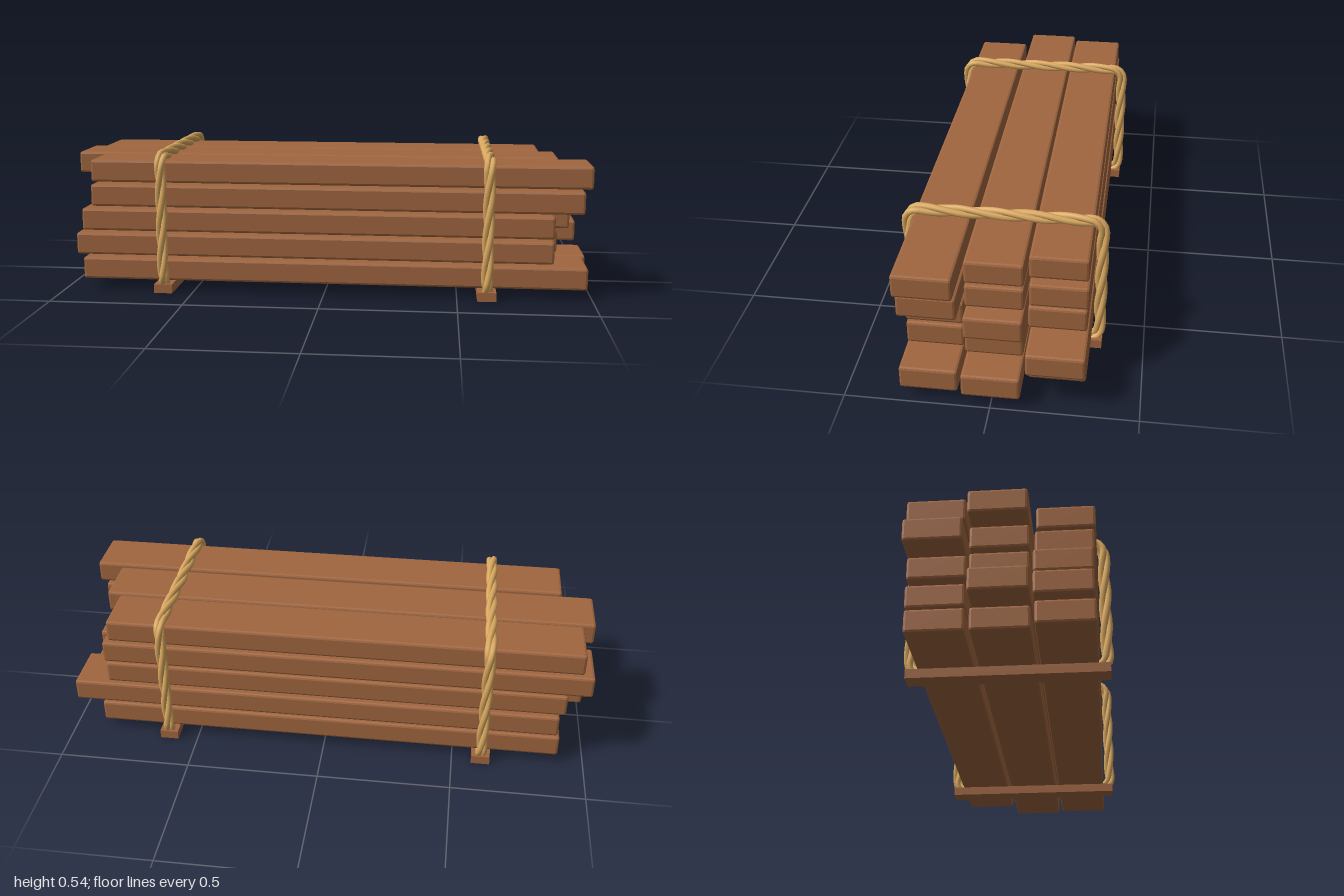
import * as THREE from 'three';
import { RoundedBoxGeometry } from 'three/addons/geometries/RoundedBoxGeometry.js';

const wood = new THREE.MeshStandardMaterial({ color: 0xa0663f, flatShading: true });
const ropeFibre = new THREE.MeshStandardMaterial({ color: 0xdcaa60 });

// One strand winding around a rounded rectangular loop in the z-y plane
class StrandCurve extends THREE.Curve {
  constructor(loop, phase, turns, offset) {
    super();
    Object.assign(this, { loop, phase, turns, offset });
  }
  getPoint(t, target = new THREE.Vector3()) {
    const u = ((t % 1) + 1) % 1;
    const p = this.loop.getPointAt(u);
    const d = this.loop.getTangentAt(u);
    const a = this.phase + u * this.turns * Math.PI * 2;
    const out = Math.cos(a) * this.offset;
    return target.set(Math.sin(a) * this.offset, p.y - d.x * out, p.x + d.y * out);
  }
}

// Rope path: shape x is model z, shape y is model y
function ropeLoop(halfZ, bottom, top, r) {
  const s = new THREE.Shape();
  s.moveTo(halfZ, bottom + r);
  s.lineTo(halfZ, top - r);
  s.absarc(halfZ - r, top - r, r, 0, Math.PI / 2);
  s.lineTo(-halfZ + r, top);
  s.absarc(-halfZ + r, top - r, r, Math.PI / 2, Math.PI);
  s.lineTo(-halfZ, bottom + r);
  s.absarc(-halfZ + r, bottom + r, r, Math.PI, Math.PI * 1.5);
  s.lineTo(halfZ - r, bottom);
  s.absarc(halfZ - r, bottom + r, r, Math.PI * 1.5, Math.PI * 2);
  return s;
}

function makeRope(x) {
  const rope = new THREE.Group();
  rope.name = 'rope';
  const loop = ropeLoop(0.339, 0.025, 0.522, 0.045);
  for (let i = 0; i < 3; i++) {
    const curve = new StrandCurve(loop, (i * Math.PI * 2) / 3, 6, 0.011);
    const strand = new THREE.Mesh(new THREE.TubeGeometry(curve, 110, 0.0118, 8, true), ropeFibre);
    strand.name = 'ropeStrand';
    rope.add(strand);
  }
  rope.position.x = x;
  return rope;
}

// Rows from bottom to top; each plank is [z centre, left end x, right end x]
const rows = [
  [[0.211, -0.93, 0.98], [-0.001, -0.90, 0.995], [-0.213, -0.90, 0.88]],
  [[0.207, -0.955, 0.855], [0.001, -0.99, 0.885], [-0.215, -0.89, 0.98]],
  [[0.207, -0.93, 0.855], [-0.002, -0.92, 0.93], [-0.209, -0.91, 0.845]],
  [[0.211, -0.89, 0.96], [-0.001, -0.93, 0.88], [-0.213, -0.995, 0.85]],
  [[0.216, -0.885, 0.985], [-0.001, -1.0, 0.88], [-0.209, -0.955, 0.825]],
];

export function createModel() {
  const model = new THREE.Group();
  model.name = 'lumberStack';

  // Chamfered planks
  rows.forEach((row, j) => {
    for (const [z, x0, x1] of row) {
      const plank = new THREE.Mesh(new RoundedBoxGeometry(x1 - x0, 0.084, 0.199, 1, 0.009), wood);
      plank.name = 'plank';
      plank.position.set((x0 + x1) / 2, 0.082 + j * 0.0948, z);
      model.add(plank);
    }
  });

  // Ground bearers with a rope tied above each
  for (const x of [-0.61, 0.61]) {
    const bearer = new THREE.Mesh(new THREE.BoxGeometry(0.07, 0.034, 0.7), wood);
    bearer.name = 'bearer';
    bearer.position.set(x, 0.017, 0);
    model.add(bearer, makeRope(x));
  }
  return model;
}
